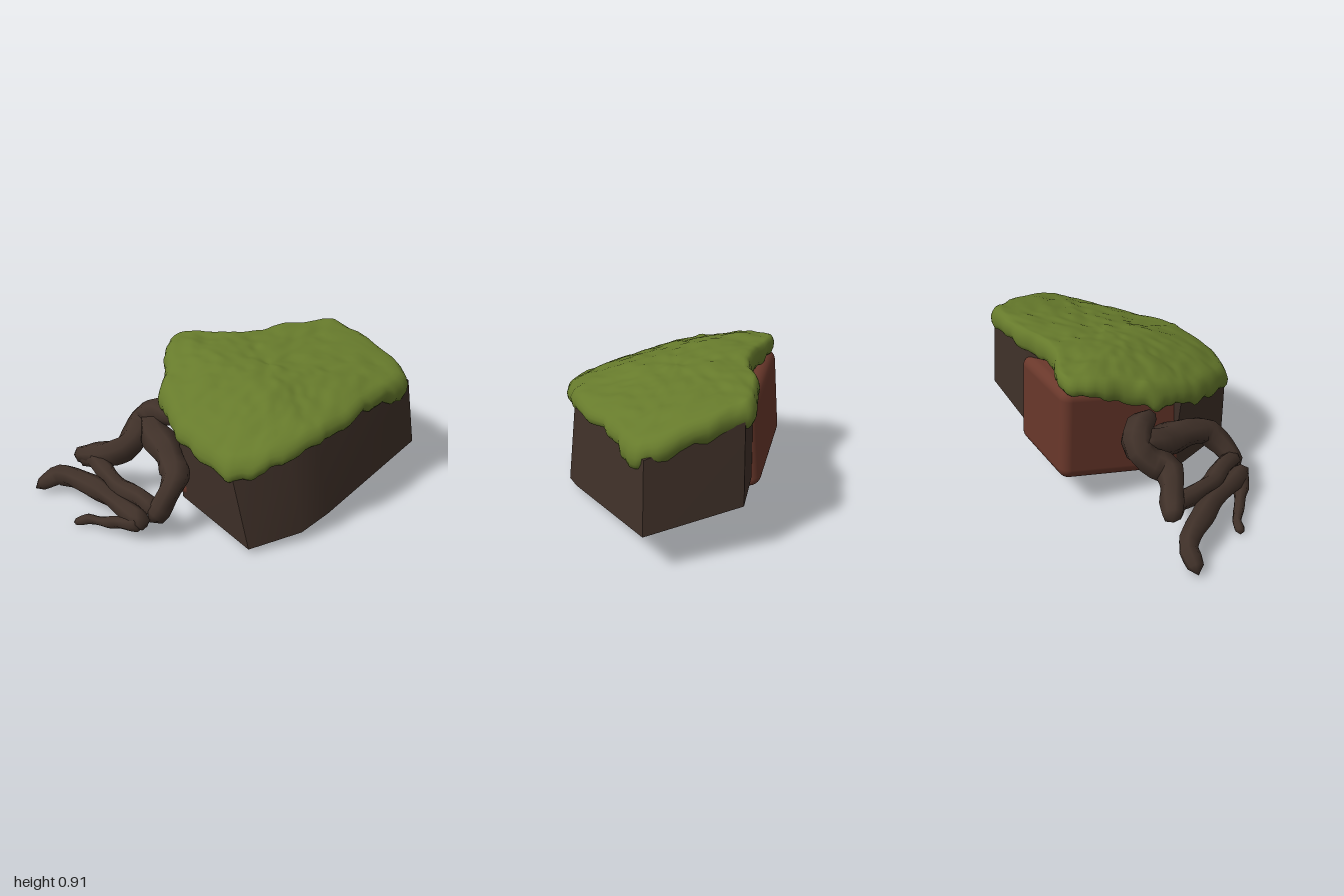
import * as THREE from 'three';
import { mergeVertices, toCreasedNormals } from 'three/addons/utils/BufferGeometryUtils.js';
import { RoundedBoxGeometry } from 'three/addons/geometries/RoundedBoxGeometry.js';
import { ConvexGeometry } from 'three/addons/geometries/ConvexGeometry.js';

const material = (name, color) => Object.assign(new THREE.MeshStandardMaterial({ color }), { name });
const V = (p) => new THREE.Vector3(...p);
const { lerp, smoothstep } = THREE.MathUtils;

// Height of the domed top surface
const topHeight = (x, z) =>
  0.87 - 0.12 * x - 0.17 * x * x - (z > 0 ? 0.2 * z + 0.4 * z * z : 0.03 * z);

// Smooth seeded value noise in -1..1
const hash = (i, j) => {
  const s = Math.sin(i * 127.1 + j * 311.7) * 43758.5453;
  return (s - Math.floor(s)) * 2 - 1;
};
function noise(x, z) {
  const i = Math.floor(x), j = Math.floor(z);
  const u = smoothstep(x - i, 0, 1), v = smoothstep(z - j, 0, 1);
  return lerp(lerp(hash(i, j), hash(i + 1, j), u), lerp(hash(i, j + 1), hash(i + 1, j + 1), u), v);
}
const lumps = (x, z) => 0.65 * noise(x * 9, z * 9) + 0.5 * noise(x * 19 + 7, z * 19 + 3);

// Turf: rings grown from the middle, rolled over the rim
function turfGeometry() {
  const outline = new THREE.CatmullRomCurve3([
    [-0.03, -0.92], [0.1, -0.95], [0.55, -0.95], [0.64, -0.87], [0.68, -0.55], [0.74, -0.2],
    [0.73, 0.05], [0.67, 0.3], [0.55, 0.46], [0.4, 0.49], [0.1, 0.49], [-0.05, 0.45],
    [-0.2, 0.37], [-0.3, 0.25], [-0.45, 0.13], [-0.55, 0], [-0.5, -0.12], [-0.35, -0.25],
    [-0.22, -0.45], [-0.2, -0.6], [-0.12, -0.78],
  ].map(([x, z]) => new THREE.Vector3(x, 0, z)), true);
  const sides = 140, cx = 0.15, cz = -0.2;
  const rings = [];
  for (let i = 0; i <= 22; i++) rings.push([i / 22 * 0.93 + 0.001, 0]);
  rings.push([0.965, 0.012], [0.99, 0.035], [1.005, 0.065], [1.0, 0.1], [0.98, 0.13], [0.94, 0.135], [0.85, 0.1], [0.001, 0.1]);
  const pos = [], index = [];
  rings.forEach(([s, drop], r) => {
    for (let i = 0; i < sides; i++) {
      const p = outline.getPoint(i / sides);
      const n = lumps(p.x, p.z);
      const k = s * (1 + 0.025 * n * s * s);
      const x = cx + (p.x - cx) * k, z = cz + (p.z - cz) * k;
      // the skirt is thinner at the left tip and along the right side
      const thin = 0.2 * smoothstep(-x, 0.3, 0.5) +
        0.3 * smoothstep(x, 0.55, 0.7) * smoothstep(z, -0.85, -0.65);
      const hang = 1 + 0.2 * n - thin;
      pos.push(x, topHeight(x, z) - drop * hang + 0.014 * lumps(x + 3, z), z);
      if (r === 0) continue;
      const j = (i + 1) % sides, a = (r - 1) * sides, b = r * sides;
      index.push(a + i, b + j, b + i, a + i, a + j, b + j);
    }
  });
  const g = new THREE.BufferGeometry();
  g.setAttribute('position', new THREE.Float32BufferAttribute(pos, 3));
  g.setIndex(index);
  g.computeVertexNormals();
  return g;
}

// Dark block: a tilted footprint joined to a shifted top; last value is the sideways shift
function blockGeometry() {
  const foot = [
    [0.0, 0.08, 0.37, 0.03], [0.64, 0.03, 0.4, -0.09], [0.75, 0.065, 0.08, -0.07], [0.765, 0.12, -0.12, -0.06],
    [0.64, 0.24, -1, -0.03], [0.05, 0.31, -1, -0.02], [-0.17, 0.24, -0.6, -0.02], [-0.18, 0.17, -0.1, 0.05],
  ];
  const points = [];
  for (const [x, y, z, shift] of foot) {
    const tx = x + shift, tz = z + 0.05;
    points.push(V([x, y, z]), V([tx, topHeight(tx, tz) - 0.085, tz]));
  }
  return toCreasedNormals(new ConvexGeometry(points), 0.45);
}

// Red block: rounded box sheared so its base slopes
function redGeometry() {
  const w = 0.79, h = 0.58, d = 0.69;
  const g = new RoundedBoxGeometry(w, h, d, 5, 0.065);
  const p = g.attributes.position;
  for (let i = 0; i < p.count; i++) {
    p.setY(i, p.getY(i) - 0.13 * p.getX(i) / w + 0.07 * p.getZ(i) / d);
  }
  g.rotateY(-0.6);
  for (let i = 0; i < p.count; i++) p.setX(i, p.getX(i) + 0.07 * p.getY(i));
  g.translate(-0.075, 0.41, -0.095);
  return g;
}

// Root: a tube with changing, knotty thickness and closed ends; points are [x, y, z, radius]
function rootGeometry(points) {
  const path = points.map(([x, y, z]) => new THREE.Vector3(x, y, z));
  const curve = new THREE.CatmullRomCurve3(path, false, 'catmullrom', 0.25);
  const segs = 20, sides = 7;
  const g = new THREE.TubeGeometry(curve, segs, 1, sides);
  const p = g.attributes.position, v = new THREE.Vector3();
  for (let i = 0; i <= segs; i++) {
    const u = i / segs, c = curve.getPointAt(u);
    const t = curve.getUtoTmapping(u) * (points.length - 1);
    const k = Math.min(Math.floor(t), points.length - 2);
    const r = lerp(points[k][3], points[k + 1][3], t - k);
    const end = Math.min(1, Math.min(i, segs - i));
    for (let j = 0; j <= sides; j++) {
      const n = i * (sides + 1) + j;
      const knot = 1 + 0.1 * Math.sin(i * 0.9 + (j % sides) * 1.9);
      v.fromBufferAttribute(p, n).sub(c).multiplyScalar(r * knot * end).add(c);
      p.setXYZ(n, v.x, v.y, v.z);
    }
  }
  g.deleteAttribute('uv');
  g.deleteAttribute('normal');
  const m = mergeVertices(g, 1e-5);
  m.computeVertexNormals();
  return m;
}

export function createModel() {
  const moss = material('moss green', 0x677b2c);
  const earth = material('dark brown', 0x403129);
  const clay = material('red clay', 0x6a382b);
  const model = new THREE.Group();
  model.name = 'mossyLedge';
  const add = (name, geometry, mat, parent = model) => {
    const mesh = new THREE.Mesh(geometry, mat);
    mesh.name = name;
    parent.add(mesh);
  };

  add('mossTop', turfGeometry(), moss);
  add('earthBlock', blockGeometry(), earth);
  add('clayBlock', redGeometry(), clay);

  const roots = new THREE.Group();
  roots.name = 'roots';
  model.add(roots);
  const paths = {
    leftRoot: [[-0.12, 0.54, 0.3, 0.04], [-0.2, 0.54, 0.31, 0.06], [-0.31, 0.54, 0.31, 0.08], [-0.39, 0.47, 0.34, 0.09],
      [-0.37, 0.39, 0.43, 0.085], [-0.34, 0.34, 0.53, 0.09], [-0.42, 0.29, 0.61, 0.075], [-0.53, 0.26, 0.67, 0.07], [-0.64, 0.23, 0.73, 0.05]],
    archRoot: [[-0.38, 0.47, 0.33, 0.07], [-0.2, 0.42, 0.4, 0.1], [0, 0.39, 0.46, 0.09], [0.14, 0.36, 0.53, 0.085],
      [0.17, 0.28, 0.61, 0.07], [0.18, 0.19, 0.7, 0.065], [0.17, 0.14, 0.76, 0.05]],
    middleRoot: [[0.2, 0.2, 0.71, 0.05], [0.05, 0.22, 0.71, 0.06], [-0.15, 0.22, 0.73, 0.055],
      [-0.35, 0.23, 0.7, 0.055], [-0.48, 0.24, 0.67, 0.06], [-0.6, 0.23, 0.72, 0.05]],
    longRoot: [[0.18, 0.16, 0.76, 0.05], [0.1, 0.14, 0.79, 0.065], [-0.1, 0.16, 0.79, 0.055], [-0.3, 0.16, 0.79, 0.065],
      [-0.52, 0.15, 0.81, 0.07], [-0.66, 0.12, 0.84, 0.06], [-0.71, 0.07, 0.91, 0.05], [-0.75, 0.025, 0.96, 0.035]],
    smallRoot: [[0.14, 0.13, 0.79, 0.05], [0.02, 0.1, 0.84, 0.045], [-0.1, 0.065, 0.89, 0.03],
      [-0.21, 0.05, 0.93, 0.03], [-0.25, 0.03, 0.97, 0.028], [-0.28, 0.015, 0.99, 0.02]],
  };
  for (const [name, path] of Object.entries(paths)) add(name, rootGeometry(path), earth, roots);
  return model;
}
